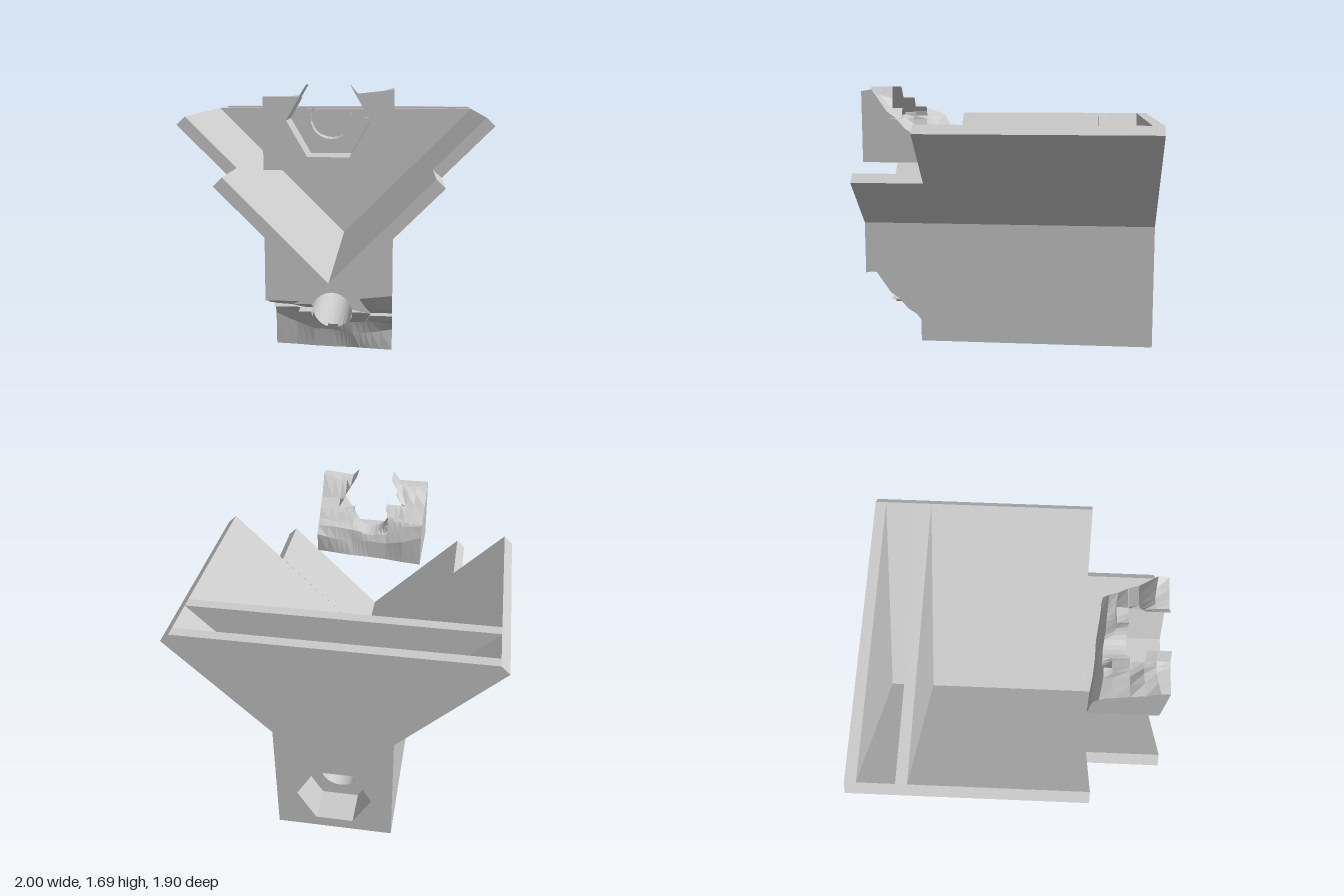
import * as THREE from 'three';

const HALF = 0.375;   // half width of the base column
const CY = 0.285;     // height of the bore axis
const R = 0.125;      // bore radius
const HEX = 0.2415;   // corner radius of the nut pockets
const APO = HEX * Math.sqrt(3) / 2;
const SPLIT = 0.5;    // everything below this at the front is fractured

const material = new THREE.MeshStandardMaterial({ color: 0xcccccc, flatShading: true });

function addMesh(group, name, geometry) {
  const mesh = new THREE.Mesh(geometry, material);
  mesh.name = name;
  group.add(mesh);
  return mesh;
}

function extrude(shape, z0, z1) {
  return new THREE.ExtrudeGeometry(shape, { depth: z1 - z0, bevelEnabled: false, curveSegments: 24 }).translate(0, 0, z0);
}

const polygon = (pts) => new THREE.Shape(pts.map(([x, y]) => new THREE.Vector2(x, y)));

// Column with a V trough on top; wing is the outer edge, rim the inner edge
function bodyShape(bottom, wing, rim, hole) {
  const side = [[HALF, bottom], [HALF, 0.8], wing, rim];
  const mirrored = side.map(([x, y]) => [-x, y]).reverse();
  const shape = polygon([...side, [0, 0.53], ...mirrored]);
  if (hole === 'round') shape.holes.push(new THREE.Path().absarc(0, CY, R, 0, Math.PI * 2, true));
  if (hole === 'hex') {
    const corners = [];
    for (let i = 0; i < 6; i++) {
      const a = -i * Math.PI / 3;
      corners.push(new THREE.Vector2(HEX * Math.cos(a), CY + HEX * Math.sin(a)));
    }
    shape.holes.push(new THREE.Path(corners));
  }
  return shape;
}

// Fracture profiles [z, y] at the right, middle and left of the column
const FRACTURE = [
  [[0.44, 0], [0.48, 0], [0.49, 0.2], [0.54, 0.27], [0.62, 0.32], [0.72, 0.36], [0.8, 0.39], [0.88, 0.43], [0.95, 0.42]],
  [[0.44, 0], [0.54, 0], [0.55, 0.1], [0.58, 0.16], [0.64, 0.23], [0.72, 0.29], [0.8, 0.36], [0.88, 0.42], [0.95, 0.42]],
  [[0.44, 0], [0.58, 0], [0.58, 0.12], [0.62, 0.18], [0.66, 0.22], [0.72, 0.27], [0.78, 0.33], [0.87, 0.45], [0.95, 0.46]],
];
const POCKET_ROW = 5, LAST_ROW = 8;

function hash(n) {
  const s = Math.sin(n * 12.9898) * 43758.5453;
  return (s - Math.floor(s)) * 2 - 1;
}

// Coarse noise, linear between seven knots across the width, so it facets
function noise(x, row, seed) {
  const t = (x + HALF) / (2 * HALF) * 6;
  const k = Math.min(5, Math.floor(t));
  return THREE.MathUtils.lerp(hash(k + row * 17 + seed), hash(k + 1 + row * 17 + seed), t - k);
}

function fracture(x, row) {
  const t = x / HALF;
  const end = FRACTURE[t < 0 ? 0 : 2][row], mid = FRACTURE[1][row];
  let z = THREE.MathUtils.lerp(mid[0], end[0], Math.abs(t));
  let y = THREE.MathUtils.lerp(mid[1], end[1], Math.abs(t));
  if (row > 0 && row < LAST_ROW && row !== POCKET_ROW) z += 0.014 * noise(x, row, 3);
  if (row > 1 && row < LAST_ROW) y += 0.022 * noise(x, row, 91);
  return { z, y };
}

// Half height of the bore or the nut pocket at x
function holeHalf(x, hex) {
  const a = Math.abs(x);
  if (hex) return Math.max(0, Math.min(APO, (HEX - a) * Math.sqrt(3)));
  return Math.sqrt(Math.max(0, R * R - a * a));
}

// Column positions follow the bore and the pocket corners
const columns = [];
for (let i = 0; i <= 12; i++) columns.push(-R * Math.cos(i * Math.PI / 12));
for (const x of [0.17, 0.205, HEX, 0.3, HALF]) columns.push(x, -x);
columns.sort((a, b) => a - b);

// Solid between two height rules over the fracture grid
function slab(firstRow, lastRow, hex, range) {
  const pos = [];
  const grid = columns.map((x) => {
    const line = [];
    for (let row = firstRow; row <= lastRow; row++) {
      const f = fracture(x, row), h = holeHalf(x, hex);
      const [lo, hi] = range(f.y, CY - h, CY + h);
      line.push({ lo: [x, lo, f.z], hi: [x, hi, f.z], thick: hi - lo });
    }
    return line;
  });
  const quad = (a, b, c, d) => pos.push(...a, ...b, ...c, ...a, ...c, ...d);
  const nx = columns.length - 1, nz = lastRow - firstRow;
  for (let i = 0; i < nx; i++) {
    for (let j = 0; j < nz; j++) {
      const a = grid[i][j], b = grid[i][j + 1], c = grid[i + 1][j + 1], d = grid[i + 1][j];
      if (Math.max(a.thick, b.thick, c.thick, d.thick) < 1e-6) continue;
      quad(a.hi, b.hi, c.hi, d.hi);
      quad(d.lo, c.lo, b.lo, a.lo);
      if (i === 0) quad(a.lo, b.lo, b.hi, a.hi);
      if (i === nx - 1) quad(c.lo, d.lo, d.hi, c.hi);
      if (j === 0) quad(d.lo, a.lo, a.hi, d.hi);
      if (j === nz - 1) quad(b.lo, c.lo, c.hi, b.hi);
    }
  }
  const geometry = new THREE.BufferGeometry();
  geometry.setAttribute('position', new THREE.Float32BufferAttribute(pos, 3));
  geometry.computeVertexNormals();
  return geometry;
}

export function createModel() {
  const model = new THREE.Group();
  model.name = 'troughBlock';

  // Column and trough, in lengths that differ in bore and wing height
  const tall = [[1, 1.425], [0.945, 1.477]], short = [[0.675, 1.1], [0.62, 1.153]];
  const body = new THREE.Group();
  body.name = 'body';
  addMesh(body, 'rearPocketSection', extrude(bodyShape(0, ...tall, 'hex'), -0.95, -0.72));
  addMesh(body, 'boredSection', extrude(bodyShape(0, ...tall, 'round'), -0.72, 0.44));
  addMesh(body, 'upperSection', extrude(bodyShape(SPLIT, ...tall), 0.44, 0.49));
  addMesh(body, 'frontSection', extrude(bodyShape(SPLIT, ...short), 0.49, 0.95));

  // End wall and the rib in front of it fill the trough
  const fill = polygon([[0, 0.53], [0.945, 1.477], [-0.945, 1.477]]);
  addMesh(body, 'endWall', extrude(fill, -0.95, -0.88));
  addMesh(body, 'crossRib', extrude(fill, -0.65, -0.58));
  model.add(body);

  // Broken chunk, lifted clear of the body
  const chunk = new THREE.Group();
  chunk.name = 'brokenChunk';
  chunk.position.y = 1.2;
  model.add(chunk);

  // Both sides of the fracture, behind and in front of the pocket floor
  for (const [first, last, hex] of [[0, POCKET_ROW, false], [POCKET_ROW, LAST_ROW, true]]) {
    addMesh(body, 'fractureAboveBore', slab(first, last, hex, (y, bottom, top) => [Math.max(y, top), SPLIT]));
    addMesh(body, 'fractureBelowBore', slab(first, last, hex, (y, bottom) => [Math.min(y, bottom), bottom]));
    addMesh(chunk, 'chunkBelowBore', slab(first, last, hex, (y, bottom) => [0, Math.min(y, bottom)]));
    addMesh(chunk, 'chunkAboveBore', slab(first, last, hex, (y, bottom, top) => [top, Math.max(y, top)]));
  }
  return model;
}
